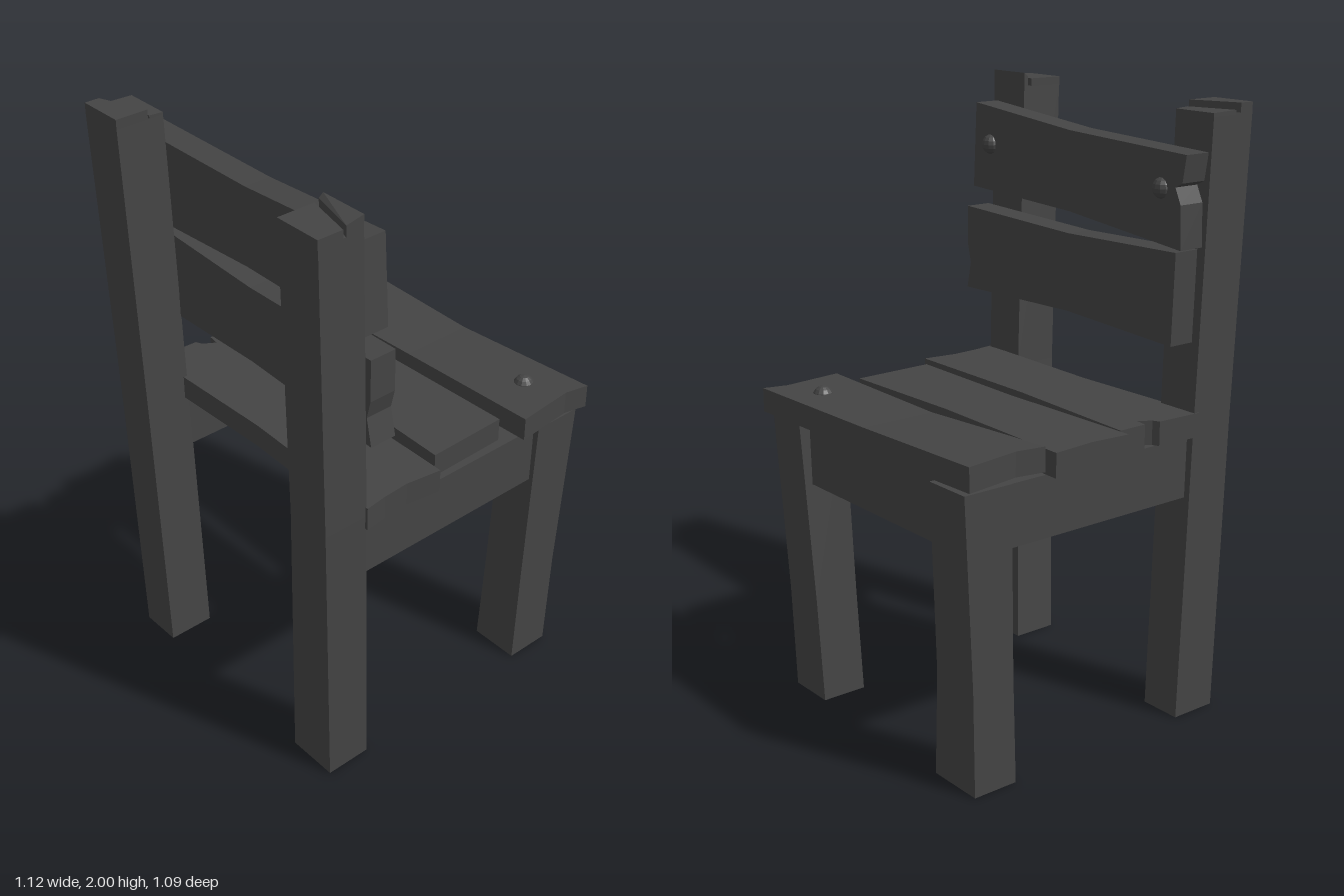
import * as THREE from 'three';

const material = new THREE.MeshStandardMaterial({ color: 0x444444, flatShading: true });

function mesh(name, geometry) {
  const m = new THREE.Mesh(geometry, material);
  m.name = name;
  return m;
}

// Joins stacked four-cornered rings (counter-clockwise from above) into a closed post.
function loft(rings) {
  const p = [];
  const quad = (a, b, c, d) => p.push(...a, ...b, ...c, ...a, ...c, ...d);
  for (let k = 0; k < rings.length - 1; k++) {
    for (let i = 0; i < 4; i++) {
      const j = (i + 1) % 4;
      quad(rings[k][i], rings[k][j], rings[k + 1][j], rings[k + 1][i]);
    }
  }
  const top = rings[rings.length - 1];
  quad(top[0], top[1], top[2], top[3]);
  quad(rings[0][3], rings[0][2], rings[0][1], rings[0][0]);
  const g = new THREE.BufferGeometry();
  g.setAttribute('position', new THREE.Float32BufferAttribute(p, 3));
  g.computeVertexNormals();
  return g;
}

// Rectangular ring: height, x range, z range
const ring = (y, x0, x1, z0, z1) => [[x0, y, z1], [x1, y, z1], [x1, y, z0], [x0, y, z0]];

const shapeOf = (pts) => new THREE.Shape(pts.map(([a, b]) => new THREE.Vector2(a, b)));
const extrude = (pts, depth) => new THREE.ExtrudeGeometry(shapeOf(pts), { depth, bevelEnabled: false });

// Moves every vertex by a rule, then refreshes the normals.
function warp(g, rule) {
  const p = g.attributes.position;
  const v = new THREE.Vector3();
  for (let i = 0; i < p.count; i++) {
    rule(v.fromBufferAttribute(p, i));
    p.setXYZ(i, v.x, v.y, v.z);
  }
  g.computeVertexNormals();
  return g;
}

// Seat plank from an [x, z] outline; its top rises a little towards both ends.
function seatPlank(name, outline, y, thickness, rise) {
  const g = extrude(outline.map(([x, z]) => [x, -z]), thickness);
  g.rotateX(-Math.PI / 2).translate(0, y, 0);
  return mesh(name, warp(g, (v) => { v.y += rise * Math.abs(v.z); }));
}

// Back slat from a [z, y] outline, skewed to follow the leaning posts.
function backSlat(name, outline, x, skew) {
  const g = extrude(outline.map(([z, y]) => [-z, y]), 0.09);
  g.rotateY(Math.PI / 2).translate(x, 0, 0);
  return mesh(name, warp(g, (v) => { v.x -= skew * v.z; }));
}

export function createModel() {
  const chair = new THREE.Group();
  chair.name = 'chair';

  // Front legs, flaring towards the seat
  chair.add(mesh('frontLegNear', loft([
    ring(0, 0.34, 0.495, 0.315, 0.485),
    ring(0.35, 0.35, 0.505, 0.33, 0.49),
    ring(0.96, 0.365, 0.535, 0.35, 0.505),
  ])));
  chair.add(mesh('frontLegFar', loft([
    ring(0, 0.34, 0.495, -0.5, -0.305),
    ring(0.35, 0.35, 0.5, -0.5, -0.325),
    ring(0.96, 0.365, 0.535, -0.51, -0.345),
  ])));

  // Back posts, leaning backwards and outwards
  chair.add(mesh('backPostNear', loft([
    ring(0, -0.485, -0.33, 0.31, 0.485),
    ring(1, -0.525, -0.37, 0.365, 0.52),
    ring(1.955, -0.563, -0.41, 0.385, 0.545),
  ])));
  chair.add(mesh('backPostFar', loft([
    ring(0, -0.49, -0.33, -0.5, -0.355),
    ring(1, -0.51, -0.352, -0.515, -0.368),
    ring(1.945, -0.534, -0.372, -0.535, -0.377),
  ])));

  // Split, uneven post ends: x edges at each end of the diagonal, heights at left and right
  const splitEnd = (name, y, z0, z1, left, right, hLeft, hRight) => {
    const corners = (a, b) => [[left[0], a, z1], [right[0], b, z1], [right[1], b, z0], [left[1], a, z0]];
    return mesh(name, loft([corners(y, y), corners(hLeft, hRight)]));
  };
  chair.add(
    splitEnd('postEndNearRear', 1.95, 0.385, 0.545, [-0.564, -0.564], [-0.48, -0.44], 1.98, 1.98),
    splitEnd('postEndNearFront', 1.95, 0.385, 0.545, [-0.47, -0.425], [-0.41, -0.41], 1.988, 2.0),
    splitEnd('postEndFarRear', 1.94, -0.535, -0.377, [-0.534, -0.534], [-0.425, -0.485], 1.975, 1.975),
    splitEnd('postEndFarFront', 1.94, -0.535, -0.377, [-0.42, -0.465], [-0.372, -0.372], 1.955, 1.952),
  );

  // Rails under the seat: both sides and the front
  for (const [name, z] of [['sideRailNear', 0.432], ['sideRailFar', -0.437]]) {
    const rail = mesh(name, new THREE.BoxGeometry(0.8, 0.197, 0.105));
    rail.position.set(0, 0.853, z);
    chair.add(rail);
  }
  const frontRail = mesh('frontRail', new THREE.BoxGeometry(0.105, 0.195, 0.76));
  frontRail.position.set(0.445, 0.852, 0);
  chair.add(frontRail);

  // Seat planks, narrow in the middle, with worn ends
  chair.add(seatPlank('seatPlankRear', [
    [-0.375, 0.53], [-0.3, 0.52], [-0.21, 0.515], [-0.09, 0.532], [-0.085, 0], [-0.055, -0.505],
    [-0.155, -0.505], [-0.16, -0.465], [-0.2, -0.49], [-0.21, -0.512], [-0.37, -0.52], [-0.355, 0],
  ], 0.957, 0.078, 0));
  chair.add(seatPlank('seatPlankMiddle', [
    [-0.05, 0.467], [0.23, 0.46], [0.217, 0], [0.232, -0.547],
    [0.085, -0.535], [-0.05, -0.547], [-0.037, 0],
  ], 0.957, 0.078, 0));
  chair.add(seatPlank('seatPlankFront', [
    [0.277, 0.525], [0.48, 0.505], [0.56, 0.523], [0.527, 0], [0.525, -0.52],
    [0.335, -0.49], [0.24, -0.508], [0.272, 0],
  ], 0.957, 0.078, 0.022));

  // Back slats with chipped ends
  chair.add(backSlat('upperSlat', [
    [0.508, 1.9], [0, 1.857], [-0.54, 1.84], [-0.525, 1.755], [-0.495, 1.74], [-0.52, 1.69],
    [-0.525, 1.555], [0, 1.6], [0.525, 1.615],
  ], -0.372, 0.04));
  chair.add(backSlat('lowerSlat', [
    [0.54, 1.545], [0, 1.53], [-0.5, 1.545], [-0.49, 1.255], [0, 1.275], [0.545, 1.26],
    [0.525, 1.35], [0.54, 1.41],
  ], -0.367, 0.02));

  // Round nail heads
  const nails = [
    ['seatNail', 0.43, 1.032, 0.37],
    ['slatNailNear', -0.307, 1.767, 0.43],
    ['slatNailFar', -0.275, 1.73, -0.43],
  ];
  for (const [name, x, y, z] of nails) {
    const nail = mesh(name, new THREE.SphereGeometry(0.034, 12, 8));
    nail.position.set(x, y, z);
    chair.add(nail);
  }

  return chair;
}
